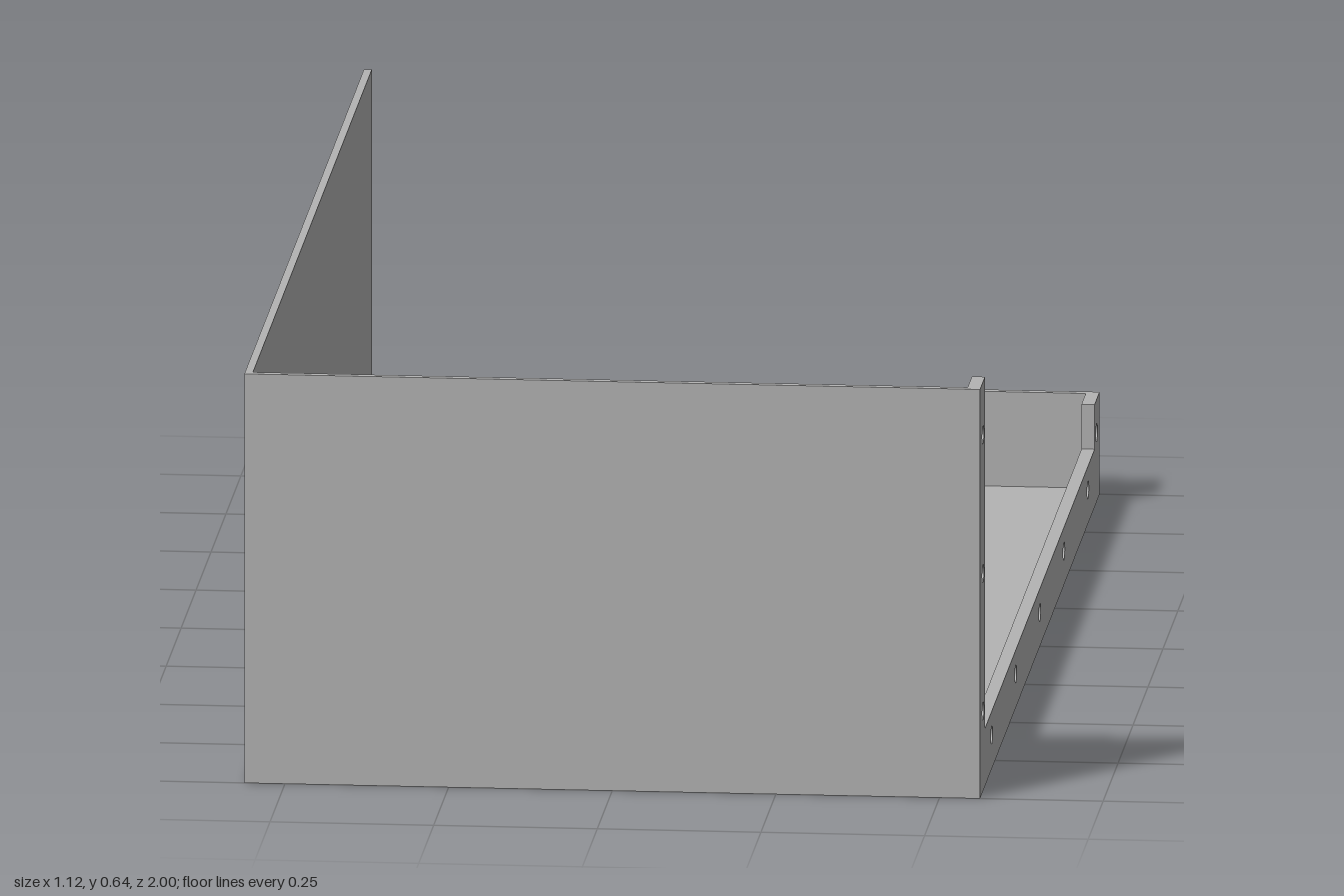
import * as THREE from 'three';

export function createModel() {
  const model = new THREE.Group();
  const grey = new THREE.MeshStandardMaterial({ color: 0xb3b3b3 });
  grey.name = 'grey sheet';

  const W = 0.562, H = 0.64, LOW = 0.16; // half width, full and low wall heights
  const T = 0.012, F = 0.02;             // wall and flange thickness
  const LIP = 0.917;                     // inner edge of the flange ends

  function add(name, geometry) {
    const mesh = new THREE.Mesh(geometry, grey);
    mesh.name = name;
    model.add(mesh);
  }
  // Box given by its lower and upper corners
  function panel(name, x0, y0, z0, x1, y1, z1) {
    const g = new THREE.BoxGeometry(x1 - x0, y1 - y0, z1 - z0);
    g.translate((x0 + x1) / 2, (y0 + y1) / 2, (z0 + z1) / 2);
    add(name, g);
  }

  // Tray panels
  panel('floor', -W, 0, -1, W, T, 1);
  panel('tallSideWall', -W, T, -1, -W + T, H, 1);
  panel('frontWall', -W + T, T, 1 - T, W - F, H, 1);
  panel('lowBackWall', -W + T, T, -1, W - F, LOW, -1 + T);

  // Open side: flange with a tall front post and a small back tab (drawn along -z)
  const shape = new THREE.Shape([
    [-1, T], [1, T], [1, LOW], [LIP, LOW], [LIP, 0.09],
    [-LIP, 0.09], [-LIP, H], [-1, H],
  ].map(([u, y]) => new THREE.Vector2(u, y)));

  // Screw holes
  const holes = [
    [-0.95, 0.125], [-0.95, 0.34], [-0.95, 0.557], [0.95, 0.108],
    ...[-0.805, -0.403, 0, 0.403, 0.805].map((u) => [u, 0.053]),
  ];
  for (const [u, y] of holes) {
    shape.holes.push(new THREE.Path().absarc(u, y, 0.014, 0, Math.PI * 2, true));
  }
  const flange = new THREE.ExtrudeGeometry(shape, { depth: F, bevelEnabled: false, curveSegments: 24 });
  flange.rotateY(Math.PI / 2).translate(W - F, 0, 0);
  add('drilledFlange', flange);

  return model;
}
